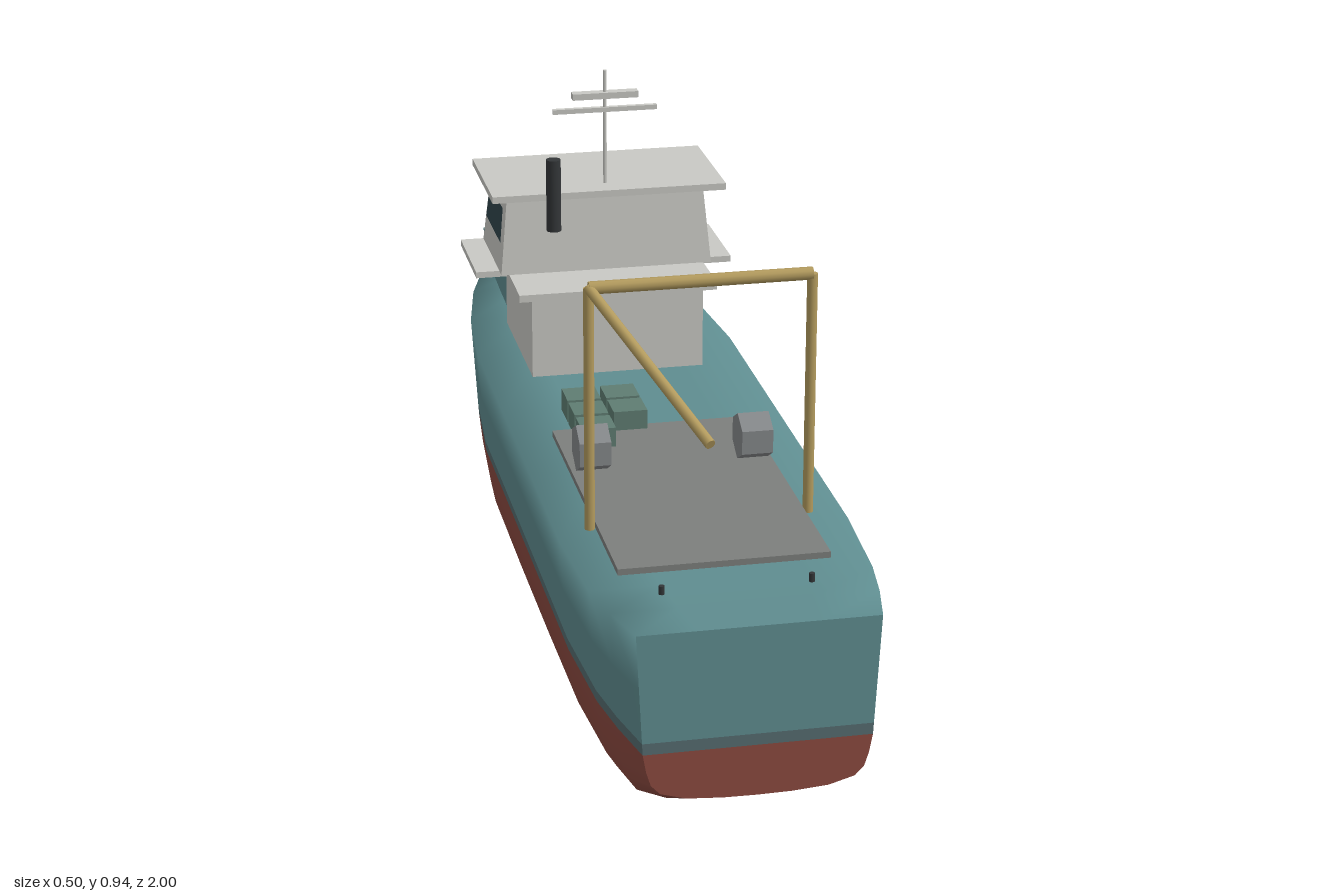
import * as THREE from 'three';

const TEAL = 0x5f8d90, RED = 0x8c4a40, BAND = 0x566d70, WHITE = 0xc9c9c4;
const GLASS = 0x2f444b, GOLD = 0xb39b5e, GREY = 0x7d7f7d, DARK = 0x333638;

function mesh(name, geo, color, flat = false) {
  const mat = new THREE.MeshStandardMaterial({ color, flatShading: flat });
  const m = new THREE.Mesh(geo, mat);
  m.name = name;
  return m;
}

// Box given by its min and max on each axis
function box(name, color, [x0, x1], [y0, y1], [z0, z1]) {
  const m = mesh(name, new THREE.BoxGeometry(x1 - x0, y1 - y0, z1 - z0), color);
  m.position.set((x0 + x1) / 2, (y0 + y1) / 2, (z0 + z1) / 2);
  return m;
}

// Round bar between two points
function bar(name, color, a, b, r, sides = 10) {
  const p = new THREE.Vector3(...a), q = new THREE.Vector3(...b);
  const m = mesh(name, new THREE.CylinderGeometry(r, r, p.distanceTo(q), sides), color);
  m.position.copy(p).add(q).multiplyScalar(0.5);
  m.quaternion.setFromUnitVectors(new THREE.Vector3(0, 1, 0), q.sub(p).normalize());
  return m;
}

// Skin stretched over rows of points
function skin(name, rows, color) {
  const n = rows[0].length, index = [];
  for (let i = 0; i < rows.length - 1; i++) {
    for (let j = 0; j < n - 1; j++) {
      const a = i * n + j, b = a + n;
      index.push(a, b, a + 1, a + 1, b, b + 1);
    }
  }
  const g = new THREE.BufferGeometry();
  g.setAttribute('position', new THREE.Float32BufferAttribute(rows.flat(2), 3));
  g.setIndex(index);
  g.computeVertexNormals();
  return mesh(name, g, color);
}

// Hull stations, stern to bow: z, half beam, keel height, deck height
const STATIONS = [
  [1, 0.2, 0.09, 0.39], [0.9, 0.222, 0.036, 0.385], [0.8, 0.238, 0.025, 0.38],
  [0.6, 0.25, 0.015, 0.38], [0.3, 0.25, 0.004, 0.38], [0, 0.25, 0, 0.38],
  [-0.3, 0.25, 0.004, 0.38], [-0.5, 0.233, 0.01, 0.38], [-0.65, 0.205, 0.018, 0.385],
  [-0.75, 0.172, 0.024, 0.392], [-0.85, 0.122, 0.032, 0.402], [-0.92, 0.072, 0.045, 0.412],
  [-0.97, 0.032, 0.07, 0.42], [-1, 0, 0.1, 0.425],
];
// Bilge curve from keel to waterline, as fractions of width and height
const BILGE = [[0, 0], [0.3, 0.01], [0.62, 0.06], [0.85, 0.2], [0.93, 0.38], [0.97, 0.65], [1, 1]];
const LINE0 = 0.18, LINE1 = 0.2;

function buildHull() {
  const hull = new THREE.Group();
  hull.name = 'hull';
  const flip = ([x, y, z]) => [-x, y, z];
  const bottom = [], bandL = [], bandR = [], topside = [];
  for (const [z, w, keel, deck] of STATIONS) {
    const bow = Math.max(0, (-z - 0.85) / 0.15);
    const pt = (x, y) => [x, y, z + 0.018 * bow * (1 - y / deck)];
    const wl = w * (0.945 - 0.1 * bow);
    const side = y => wl + (w - wl) * (y - LINE0) / (deck - LINE0);
    const half = BILGE.map(([fx, fy]) => pt(wl * fx, keel + (LINE0 - keel) * fy));
    bottom.push([...half.slice(1).reverse().map(flip), ...half]);
    const strip = [pt(wl, LINE0), pt(side(LINE1), LINE1)];
    bandL.push(strip);
    bandR.push(strip.map(flip).reverse());
    const upper = [LINE1, (LINE1 + deck) / 2, deck].map(y => pt(side(y), y));
    upper.push(pt(w * 0.5, deck));
    topside.push([...upper, pt(0, deck), ...upper.map(flip).reverse()]);
  }
  hull.add(
    skin('hullBottom', bottom, RED), skin('waterlineLeft', bandL, BAND),
    skin('waterlineRight', bandR, BAND), skin('topsidesAndDeck', topside, TEAL));

  // Flat transom closing the stern, in the same three colours
  const rows = pts => pts.map(p => [p, flip(p)]);
  hull.add(
    skin('transomBottom', rows(bottom[0].slice(BILGE.length - 1)), RED),
    skin('transomBand', rows(bandL[0]), BAND),
    skin('transomTop', rows(topside[0].slice(0, 3)), TEAL));
  return hull;
}

function buildHouse() {
  const house = new THREE.Group();
  house.name = 'deckhouse';
  house.add(
    box('lowerHouse', WHITE, [-0.165, 0.165], [0.37, 0.535], [-0.47, -0.165]),
    box('lowerRoof', WHITE, [-0.19, 0.19], [0.535, 0.549], [-0.495, -0.155]),
    box('wheelhouseRoof', WHITE, [-0.225, 0.225], [0.705, 0.718], [-0.49, -0.24]));
  for (const s of [-1, 1]) {
    const x = [0.18 * s, 0.25 * s].sort((a, b) => a - b);
    house.add(box('bridgeWing', WHITE, x, [0.538, 0.55], [-0.5, -0.3]));
  }

  // Wheelhouse with walls that lean inward
  const Y0 = 0.549, Y1 = 0.706;
  const lerp = (a, b, y) => a + (b - a) * (y - Y0) / (Y1 - Y0);
  const wallX = y => lerp(0.205, 0.19, y), frontZ = y => lerp(-0.5, -0.472, y);
  const backZ = y => lerp(-0.275, -0.288, y);
  const geo = new THREE.BoxGeometry(2, 2, 2), p = geo.attributes.position;
  for (let i = 0; i < p.count; i++) {
    const y = p.getY(i) > 0 ? Y1 : Y0;
    p.setXYZ(i, wallX(y) * p.getX(i), y, p.getZ(i) > 0 ? backZ(y) : frontZ(y));
  }
  geo.computeVertexNormals();
  house.add(mesh('wheelhouse', geo, WHITE));

  // Windows lie just outside the leaning walls
  const heights = [0.605, 0.672], out = 0.002;
  for (const s of [-1, 1]) {
    const rows = heights.map(y => {
      const ends = [[s * (wallX(y) + out), y, frontZ(y) + 0.012], [s * (wallX(y) + out), y, backZ(y) - 0.025]];
      return s > 0 ? ends : ends.reverse();
    });
    house.add(skin('sideWindow', rows, GLASS));
  }
  for (let i = 0; i < 4; i++) {
    const x = (i - 1.5) * 0.092;
    const rows = heights.map(y => [[x - 0.038, y, frontZ(y) - out], [x + 0.038, y, frontZ(y) - out]]);
    house.add(skin('frontWindow', rows, GLASS));
  }

  // Mast, aerials and funnel
  house.add(
    bar('mast', WHITE, [0, 0.715, -0.29], [0, 0.94, -0.29], 0.0035, 8),
    box('lowerAerial', WHITE, [-0.1, 0.1], [0.859, 0.868], [-0.295, -0.285]),
    box('radarBar', WHITE, [-0.063, 0.063], [0.886, 0.898], [-0.3, -0.28]),
    bar('funnel', DARK, [-0.112, 0.652, -0.22], [-0.112, 0.792, -0.22], 0.014, 10));
  return house;
}

function buildDeckGear() {
  const gear = new THREE.Group();
  gear.name = 'deckGear';
  gear.add(
    box('foredeckBlock', TEAL, [-0.15, 0.15], [0.379, 0.45], [-0.86, -0.47]),
    box('workDeck', GREY, [-0.18, 0.18], [0.375, 0.391], [0.135, 0.75]));

  // Gantry and boom
  const top = [-0.19, 0.812, 0.555];
  gear.add(
    bar('gantryBeam', GOLD, top, [0.19, 0.812, 0.555], 0.011),
    bar('boom', GOLD, top, [-0.057, 0.656, 0.885], 0.009));
  for (const s of [-1, 1]) {
    gear.add(bar('gantryPost', GOLD, [s * 0.19, 0.378, 0.555], [s * 0.19, 0.812, 0.555], 0.009));
    // Six-sided winch drum with a corner on top
    const drum = mesh('winchDrum', new THREE.CylinderGeometry(0.043, 0.043, 0.056, 6), 0x85888a, true);
    drum.rotation.set(0, Math.PI / 2, Math.PI / 2, 'YXZ');
    drum.rotation.set(0, 0, Math.PI / 2);
    drum.geometry.rotateY(Math.PI / 2);
    drum.position.set(s * 0.145, 0.437, 0.335);
    gear.add(drum, bar('bollard', DARK, [s * 0.125, 0.375, 0.838], [s * 0.125, 0.397, 0.838], 0.005, 8));
  }

  // Stacked crates
  for (const [x, z] of [[-0.112, 0.055], [-0.04, 0.055], [-0.112, 0.127], [-0.04, 0.127], [-0.112, 0.2]]) {
    gear.add(box('crate', 0x5f7d72, [x - 0.031, x + 0.031], [0.385, 0.427], [z - 0.031, z + 0.031]));
  }
  return gear;
}

export function createModel() {
  const ship = new THREE.Group();
  ship.name = 'workBoat';
  ship.add(buildHull(), buildHouse(), buildDeckGear());
  return ship;
}
